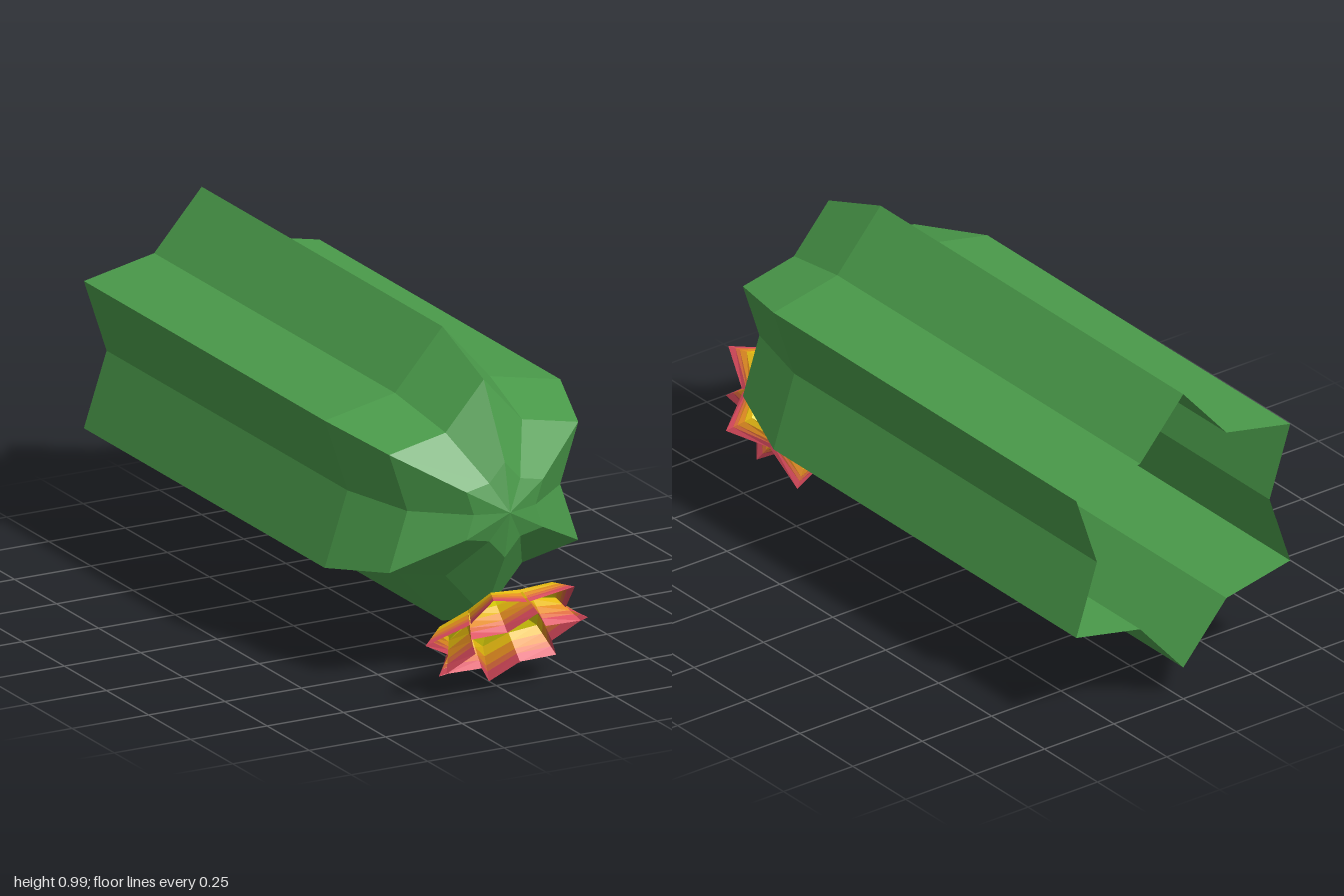
import * as THREE from 'three';

const paint = (name, color) => {
  const m = new THREE.MeshStandardMaterial({ color, flatShading: true, side: THREE.DoubleSide });
  m.name = name;
  return m;
};

// Six-pointed star loft along +y; each ring is [height, tip radius, notch radius]
function starLoft(rings, phase) {
  const points = rings.map(([y, tip, notch]) => {
    const ring = [];
    for (let i = 0; i < 12; i++) {
      const a = phase + (i * Math.PI) / 6;
      const r = i % 2 ? notch : tip;
      ring.push([r * Math.cos(a), y, r * Math.sin(a)]);
    }
    return ring;
  });
  const pos = [];
  for (let k = 0; k < rings.length - 1; k++) {
    for (let i = 0; i < 12; i++) {
      const j = (i + 1) % 12;
      const a = points[k][i], b = points[k][j], c = points[k + 1][j], d = points[k + 1][i];
      if (rings[k][1] > 0) pos.push(...a, ...c, ...b);
      if (rings[k + 1][1] > 0) pos.push(...a, ...d, ...c);
    }
  }
  const g = new THREE.BufferGeometry();
  g.setAttribute('position', new THREE.Float32BufferAttribute(pos, 3));
  g.computeVertexNormals();
  return g;
}

export function createModel() {
  const model = new THREE.Group();
  model.name = 'cactusWithFlower';
  const green = paint('cactusGreen', 0x4a9a4a);
  const yellow = paint('petalYellow', 0xe8dc0c);
  const rimColours = [
    paint('petalGold', 0xe4b80e),
    paint('petalOrange', 0xe28c20),
    paint('petalCoral', 0xdc6a3c),
    paint('petalPink', 0xd94a5c),
  ];

  // Ribbed stem, open at the back and rounded at the front
  const stem = new THREE.Mesh(starLoft([
    [-1, 0.445, 0.311], [0.43, 0.445, 0.311], [0.675, 0.357, 0.25],
    [0.8, 0.144, 0.101], [0.832, 0, 0],
  ], Math.PI / 6), green);
  stem.name = 'stem';
  stem.rotation.x = Math.PI / 2;
  stem.position.y = 0.55;
  model.add(stem);

  // Petal cup: yellow bowl plus a rim in coloured bands; heights run back from the tips
  function petals(name, phase, bowl, rim, y, z) {
    const group = new THREE.Group();
    group.name = name;
    const centre = new THREE.Mesh(starLoft(bowl, phase), yellow);
    centre.name = 'petalBowl';
    group.add(centre);
    const start = bowl[bowl.length - 1];
    const at = (t) => start.map((v, i) => v + (rim[i] - v) * t);
    const stops = [0, 0.28, 0.55, 0.72, 1];
    rimColours.forEach((material, i) => {
      const band = new THREE.Mesh(starLoft([at(stops[i]), at(stops[i + 1])], phase), material);
      band.name = 'petalBand';
      group.add(band);
    });
    // Opens forward and down
    group.rotation.x = (3 * Math.PI) / 4;
    group.position.set(0, y, z);
    model.add(group);
  }

  petals('outerPetals', 0,
    [[-0.1, 0, 0], [-0.088, 0.085, 0.065], [-0.052, 0.2, 0.16]],
    [0, 0.266, 0.18], 0.185, 0.812);
  petals('innerPetals', Math.PI / 6,
    [[-0.15, 0, 0], [-0.138, 0.065, 0.047], [-0.093, 0.166, 0.118]],
    [0, 0.207, 0.125], 0.15, 0.853);

  return model;
}
